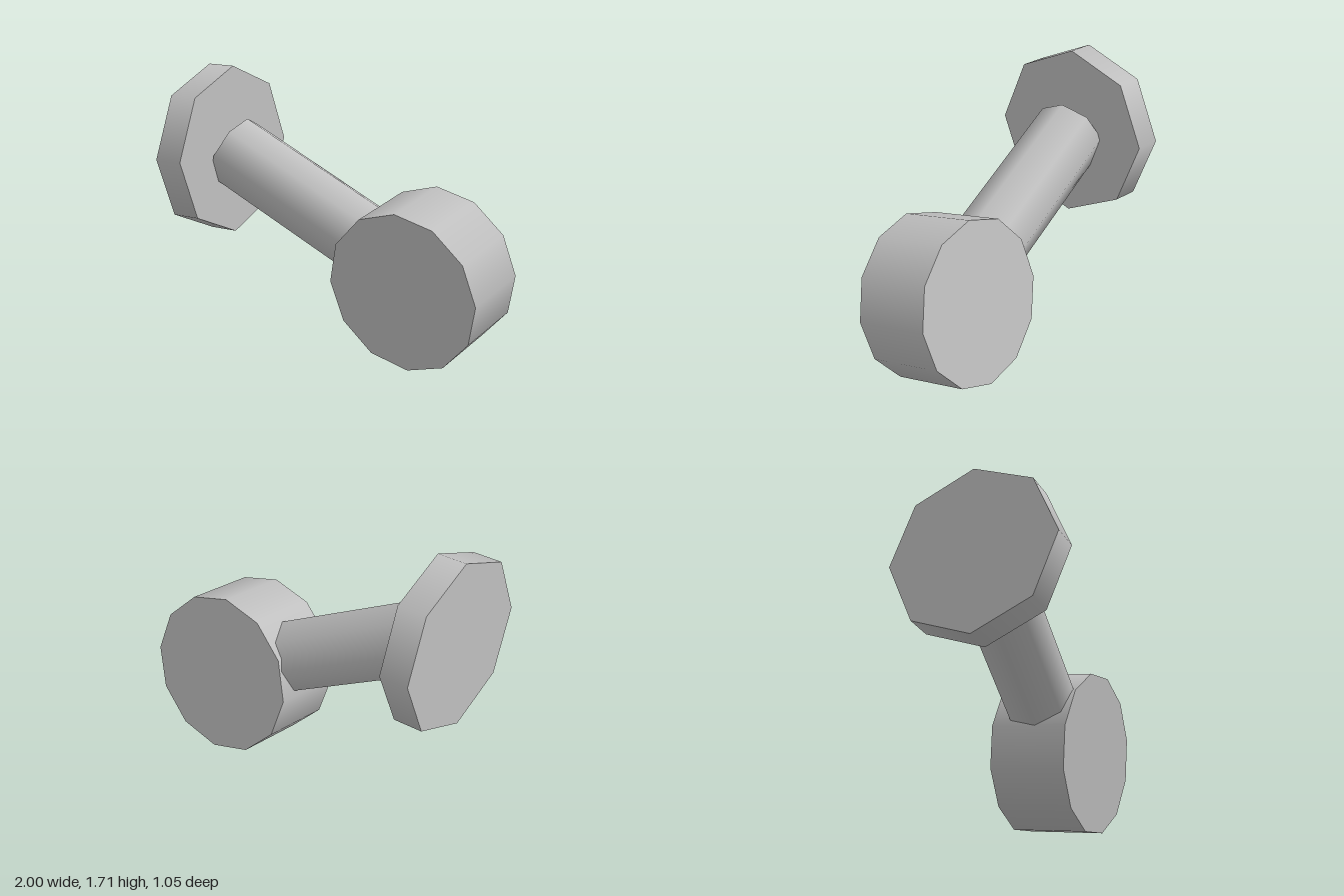
import * as THREE from 'three';

export function createModel() {
  const group = new THREE.Group();
  const grey = new THREE.MeshStandardMaterial({ color: 0xc0c0c0 });
  grey.name = 'grey';

  // Capped prism with smooth sides, its axis along z and a corner at the top
  const drum = (name, radius, depth, sides, position) => {
    const geometry = new THREE.CylinderGeometry(radius, radius, depth, sides).rotateX(Math.PI / 2);
    const mesh = new THREE.Mesh(geometry, grey);
    mesh.name = name;
    mesh.position.copy(position);
    group.add(mesh);
    return mesh;
  };

  const armStart = new THREE.Vector3(-0.815, 1.186, 0);
  const headCentre = new THREE.Vector3(0.502, 0.533, -0.108);

  // Octagonal wall plate facing along x
  drum('wallPlate', 0.525, 0.185, 8, new THREE.Vector3(-0.9075, 1.188, 0)).rotation.y = Math.PI / 2;

  // Octagonal arm running from the plate into the middle of the head
  const arm = drum('arm', 0.228, armStart.distanceTo(headCentre), 8,
    armStart.clone().lerp(headCentre, 0.5));
  arm.lookAt(headCentre);

  // Twelve-sided head, its front tipped downwards
  drum('head', 0.498, 0.482, 12, headCentre).rotation.x = 0.163;

  return group;
}
